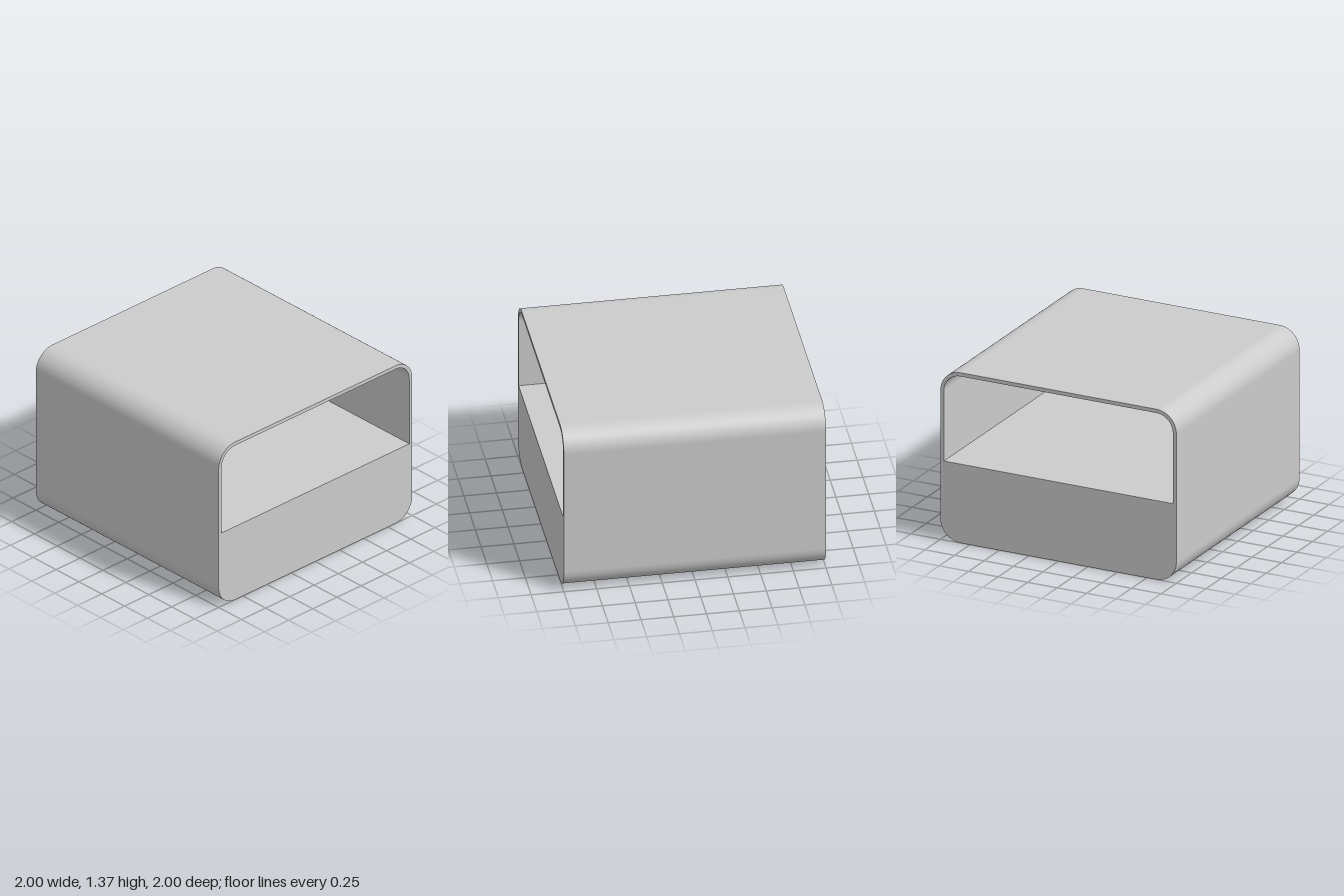
import * as THREE from 'three';

const WIDTH = 2;      // along x
const DEPTH = 2;      // along z
const HEIGHT = 1.37;
const WALL = 0.03;
const RADIUS = 0.17;  // outer corner radius
const FLOOR = 0.635;  // top of the solid base

// Outline with rounded top corners and bottom corners of a given radius.
function roundedOutline(path, halfWidth, bottom, top, rTop, rBottom) {
  path.moveTo(-halfWidth + rBottom, bottom);
  path.lineTo(halfWidth - rBottom, bottom);
  if (rBottom) path.absarc(halfWidth - rBottom, bottom + rBottom, rBottom, -Math.PI / 2, 0);
  path.lineTo(halfWidth, top - rTop);
  path.absarc(halfWidth - rTop, top - rTop, rTop, 0, Math.PI / 2);
  path.lineTo(-halfWidth + rTop, top);
  path.absarc(-halfWidth + rTop, top - rTop, rTop, Math.PI / 2, Math.PI);
  path.lineTo(-halfWidth, bottom + rBottom);
  if (rBottom) path.absarc(-halfWidth + rBottom, bottom + rBottom, rBottom, Math.PI, Math.PI * 1.5);
  return path;
}

export function createModel() {
  const group = new THREE.Group();
  group.name = 'openBox';

  // Side profile: rounded shell over a solid base, with a through opening
  const profile = roundedOutline(new THREE.Shape(), DEPTH / 2, 0, HEIGHT, RADIUS, RADIUS);
  profile.holes.push(
    roundedOutline(new THREE.Path(), DEPTH / 2 - WALL, FLOOR, HEIGHT - WALL, RADIUS - WALL, 0)
  );

  // Run the profile along x
  const geometry = new THREE.ExtrudeGeometry(profile, {
    depth: WIDTH, bevelEnabled: false, curveSegments: 12,
  });
  geometry.translate(0, 0, -WIDTH / 2);
  geometry.rotateY(Math.PI / 2);

  const body = new THREE.Mesh(geometry, new THREE.MeshStandardMaterial({ color: 0xcccccc }));
  body.name = 'shellWithSolidBase';
  group.add(body);
  return group;
}
